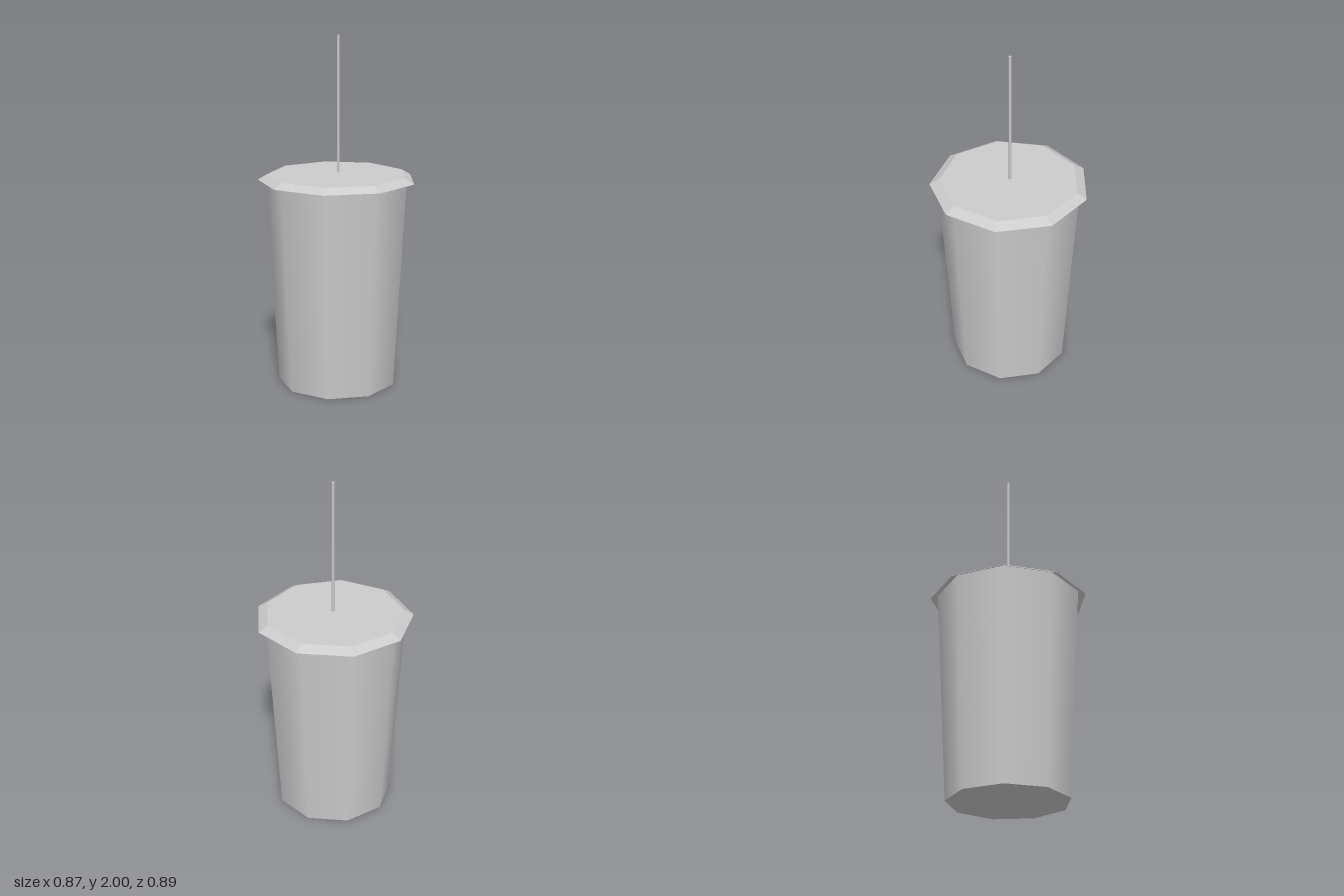
import * as THREE from 'three';

const SIDES = 9;
const START = Math.PI / 2; // puts one corner on +x
const AXIS_X = -0.0138; // a nine-sided outline is off-centre in its bounds

function addMesh(group, name, geometry, x, y, options = {}) {
  const material = new THREE.MeshStandardMaterial({ color: 0xcccccc, ...options });
  const mesh = new THREE.Mesh(geometry, material);
  mesh.name = name;
  mesh.position.set(x, y, 0);
  group.add(mesh);
}

export function createModel() {
  const group = new THREE.Group();
  group.name = 'cupWithStraw';

  // Tapered cup wall, smooth shaded, open under the lid
  const cupHeight = 1.21;
  const wall = new THREE.CylinderGeometry(0.408, 0.341, cupHeight, SIDES, 1, true, START);
  addMesh(group, 'cupWall', wall, AXIS_X, cupHeight / 2, { side: THREE.DoubleSide });

  // Flat base, facing down
  const base = new THREE.CircleGeometry(0.341, SIDES).rotateX(Math.PI / 2);
  addMesh(group, 'cupBase', base, AXIS_X, 0);

  // Faceted lid: sloping rim and flat top, open below
  const profile = [[0.4506, 1.19], [0.396, 1.222], [0, 1.222]].map(([r, y]) => new THREE.Vector2(r, y));
  const lid = new THREE.LatheGeometry(profile, SIDES, START);
  addMesh(group, 'lid', lid, AXIS_X, 0, { flatShading: true, side: THREE.DoubleSide });

  // Thin upright straw
  const strawBottom = 1.23;
  const strawHeight = 2 - strawBottom;
  const straw = new THREE.CylinderGeometry(0.008, 0.008, strawHeight, SIDES, 1, false, START);
  addMesh(group, 'straw', straw, -0.008, strawBottom + strawHeight / 2);

  return group;
}
